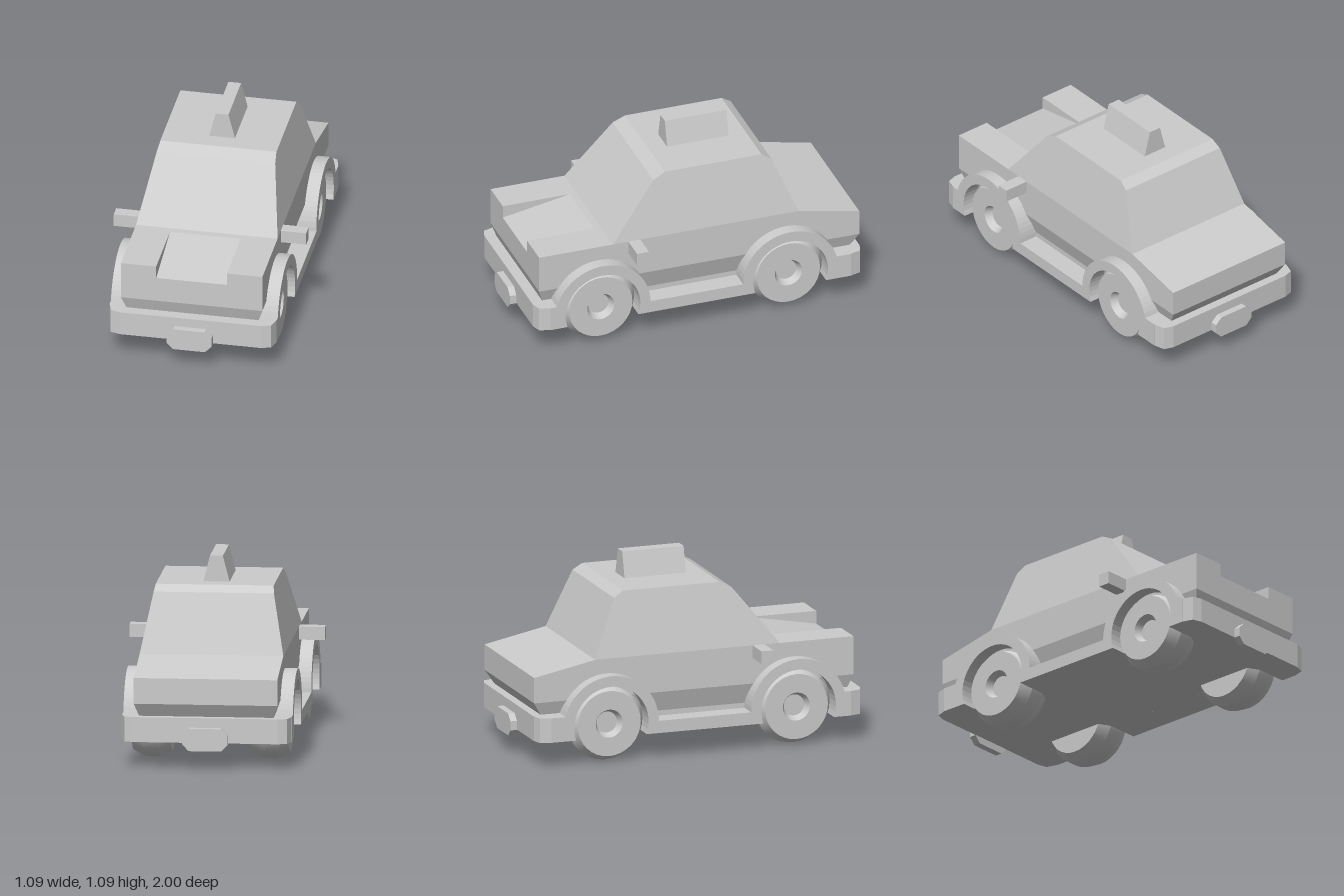
import * as THREE from 'three';
import { toCreasedNormals } from 'three/addons/utils/BufferGeometryUtils.js';

const FRONT_AXLE = 0.575, REAR_AXLE = -0.53, AXLE_Y = 0.22;

export function createModel() {
  const car = new THREE.Group();
  car.name = 'taxi';
  const grey = new THREE.MeshStandardMaterial({ color: 0xcccccc });
  grey.name = 'light grey';

  const add = (name, geometry) => {
    const mesh = new THREE.Mesh(geometry, grey);
    mesh.name = name;
    car.add(mesh);
    return mesh;
  };
  const polygon = (points) => new THREE.Shape(points.map(([a, b]) => new THREE.Vector2(a, b)));

  // Extrudes a (z, y) side profile across x0..x1
  const across = (shape, x0, x1) => new THREE.ExtrudeGeometry(shape, { depth: x1 - x0, bevelEnabled: false, curveSegments: 14 })
    .translate(0, 0, -x1).rotateY(-Math.PI / 2);

  // Side profile whose half width changes evenly from (y0, w0) to (y1, w1)
  const tapered = (points, y0, w0, y1, w1) => {
    const geo = across(polygon(points), -1, 1);
    const p = geo.attributes.position;
    for (let i = 0; i < p.count; i++) {
      p.setX(i, p.getX(i) * THREE.MathUtils.mapLinear(p.getY(i), y0, y1, w0, w1));
    }
    geo.computeVertexNormals();
    return geo;
  };

  // Lower body, tucked in towards the sills
  add('lowerBody', tapered([[0.875, 0.22], [0.925, 0.365], [-0.96, 0.365], [-0.87, 0.22]], 0.22, 0.35, 0.365, 0.4));

  // Main body: two sides and a middle with the sloping hood channel
  const tail = [[-0.6, 0.583], [-0.96, 0.51], [-0.96, 0.365]];
  const side = polygon([[0.925, 0.365], [0.925, 0.583], ...tail]);
  add('bodyLeft', across(side, 0.2, 0.4));
  add('bodyRight', across(side, -0.4, -0.2));
  add('bodyMiddle', across(polygon([[0.925, 0.365], [0.925, 0.51], [0.53, 0.583], ...tail]), -0.2, 0.2));

  // Cabin and roof sign
  add('cabin', tapered([[0.49, 0.583], [0.23, 0.91], [0.16, 0.945], [-0.41, 0.945], [-0.465, 0.91], [-0.6, 0.583]],
    0.583, 0.4, 0.945, 0.328));
  add('roofSign', tapered([[0.055, 0.94], [0.055, 1.09], [-0.307, 1.09], [-0.307, 0.94]], 0.945, 0.073, 1.09, 0.036));

  // Floor between the wheels
  add('floor', new THREE.BoxGeometry(0.72, 0.14, 1.78).translate(0, 0.22, 0));

  // Sills with raised wheel arches
  const sill = new THREE.Shape();
  sill.moveTo(0.885, 0.15);
  sill.lineTo(0.885, 0.29);
  sill.absarc(FRONT_AXLE, AXLE_Y, 0.28, 0.253, Math.PI, false);
  sill.absarc(REAR_AXLE, AXLE_Y, 0.28, 0, Math.PI - 0.253, false);
  sill.lineTo(-0.885, 0.29);
  sill.lineTo(-0.885, 0.15);
  for (const z of [REAR_AXLE, FRONT_AXLE]) {
    sill.absarc(z, AXLE_Y, 0.22, Math.PI + 0.324, -0.324, true);
  }
  sill.closePath();
  add('sillLeft', across(sill, 0.3, 0.472));
  add('sillRight', across(sill, -0.472, -0.3));

  // Bumpers with cut corners, and the plates on them
  const bumperShape = polygon([[-0.472, 0.88], [0.472, 0.88], [0.453, 0.945], [0.4, 0.962], [-0.4, 0.962], [-0.453, 0.945]]);
  const bumper = new THREE.ExtrudeGeometry(bumperShape, { depth: 0.14, bevelEnabled: false })
    .rotateX(Math.PI / 2).translate(0, 0.29, 0);
  const plateShape = polygon([[-0.09, 0.11], [0.09, 0.11], [0.127, 0.148], [0.127, 0.2], [0.088, 0.236],
    [-0.088, 0.236], [-0.127, 0.2], [-0.127, 0.148]]);
  const plate = new THREE.ExtrudeGeometry(plateShape, { depth: 0.04, bevelEnabled: false }).translate(0, 0, 0.96);
  for (const [end, turn] of [['front', 0], ['rear', Math.PI]]) {
    add(end + 'Bumper', bumper).rotation.y = turn;
    add(end + 'Plate', plate).rotation.y = turn;
  }

  // Wheels with sloped tread edges and a hollow hub
  const wheelProfile = [[0, 0.22], [0.186, 0.22], [0.22, 0.285], [0.22, 0.37], [0.186, 0.436], [0.08, 0.436], [0.06, 0.395], [0, 0.395]]
    .map(([r, x]) => new THREE.Vector2(r, x));
  const wheel = toCreasedNormals(new THREE.LatheGeometry(wheelProfile, 32).rotateZ(-Math.PI / 2), 0.4);
  for (const [sideName, s] of [['Left', 1], ['Right', -1]]) {
    for (const [end, z] of [['front', FRONT_AXLE], ['rear', REAR_AXLE]]) {
      const mesh = add(end + 'Wheel' + sideName, wheel);
      mesh.position.set(0, AXLE_Y, z);
      mesh.rotation.y = s > 0 ? 0 : Math.PI;
    }
    // Door mirrors
    add('mirror' + sideName, new THREE.BoxGeometry(0.185, 0.073, 0.07)).position.set(s * 0.4515, 0.547, 0.365);
  }
  return car;
}
